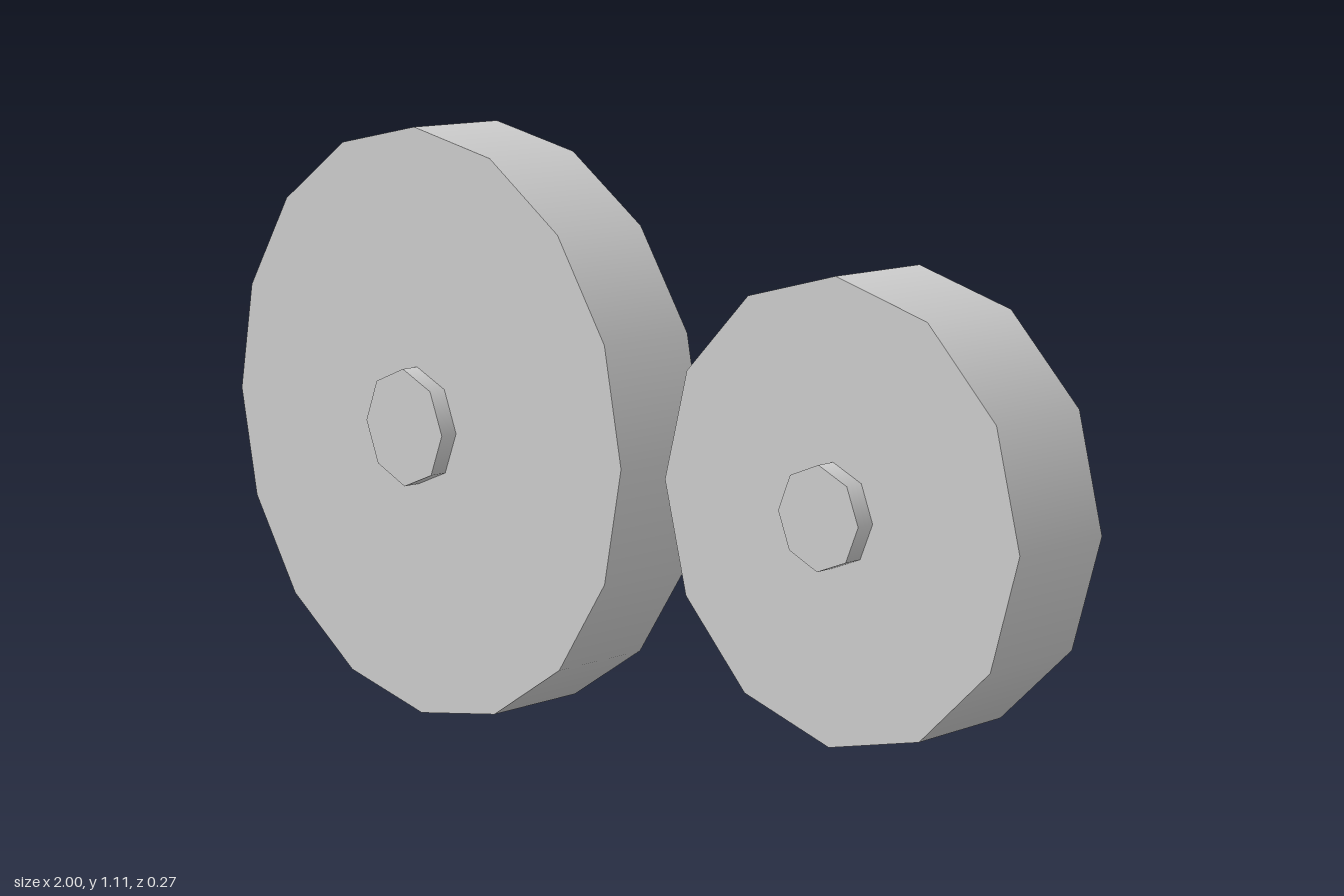
import * as THREE from 'three';

const material = new THREE.MeshStandardMaterial({ color: 0xcccccc });
const AXLE_HEIGHT = 0.556;

// A faceted disc whose axis runs front to back
function disc(name, radius, depth, sides) {
  const geometry = new THREE.CylinderGeometry(radius, radius, depth, sides);
  geometry.rotateX(Math.PI / 2);
  const mesh = new THREE.Mesh(geometry, material);
  mesh.name = name;
  return mesh;
}

// A wheel with its hub standing proud on both faces
function wheel(name, x, radius, sides, hubRadius) {
  const group = new THREE.Group();
  group.name = name;
  group.add(disc('wheelDisc', radius, 0.2, sides));
  group.add(disc('hub', hubRadius, 0.268, 8));
  group.position.set(x, AXLE_HEIGHT, 0);
  return group;
}

export function createModel() {
  const model = new THREE.Group();
  model.name = 'wheelPair';
  model.add(wheel('largeWheel', -0.444, 0.556, 16, 0.111));
  model.add(wheel('smallWheel', 0.611, 0.389, 12, 0.088));
  return model;
}
